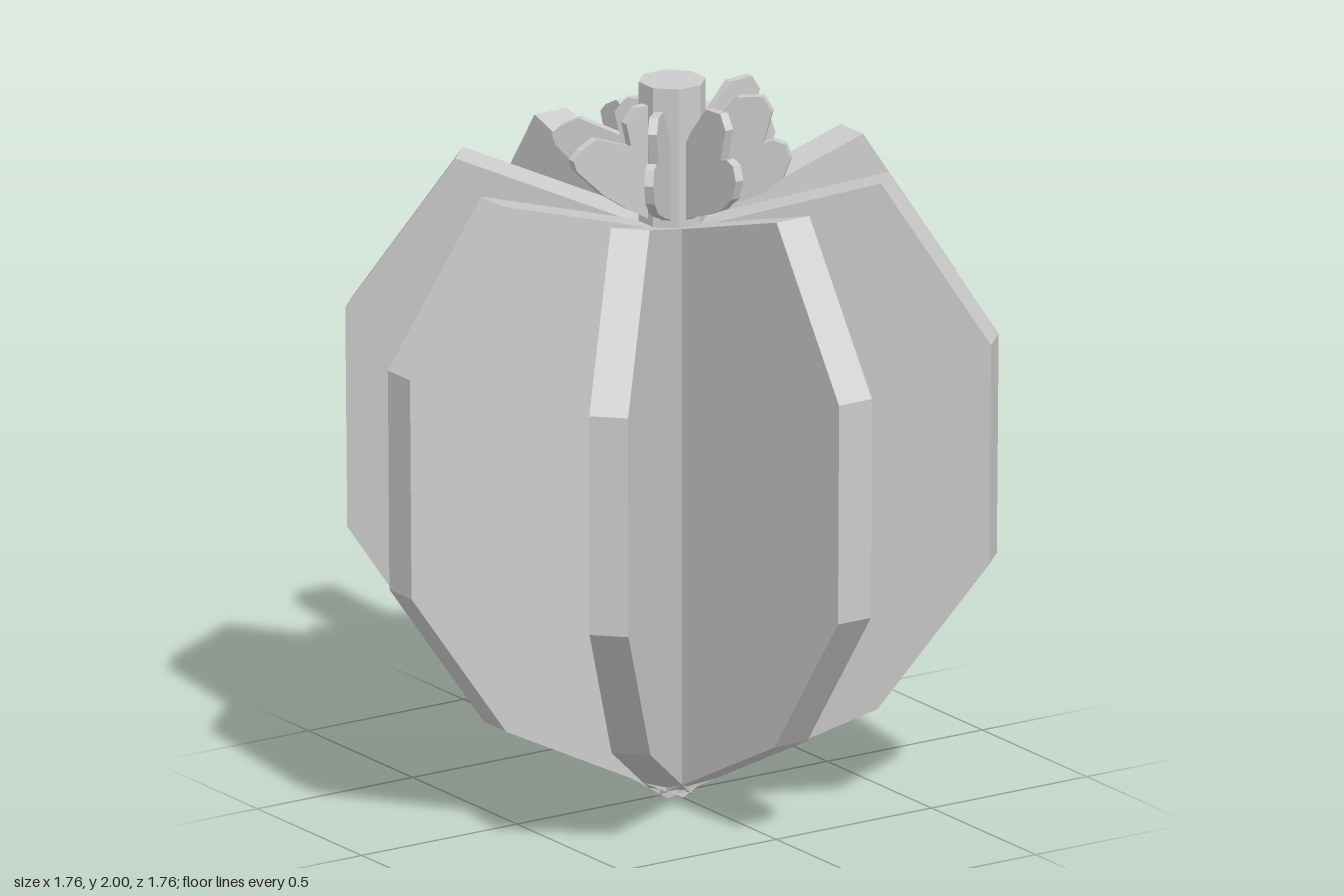
import * as THREE from 'three';

const material = new THREE.MeshStandardMaterial({ color: 0xcccccc, flatShading: true });

// Flat plate through the axis, centred on its own thickness
function plateGeometry(points, thickness) {
  const shape = new THREE.Shape(points.map(([x, y]) => new THREE.Vector2(x, y)));
  const geometry = new THREE.ExtrudeGeometry(shape, { depth: thickness, bevelEnabled: false });
  return geometry.translate(0, 0, -thickness / 2);
}

// Four crossing plates make eight radial blades
function addCrossedPlates(parent, name, geometry) {
  for (let i = 0; i < 4; i++) {
    const mesh = new THREE.Mesh(geometry, material);
    mesh.name = name + (i + 1);
    mesh.rotation.y = -i * Math.PI / 4;
    parent.add(mesh);
  }
}

export function createModel() {
  const model = new THREE.Group();
  model.name = 'ribbedPlant';

  // Body ribs: half outline mirrored across the axis
  const half = [[0.57, 0.285], [0.875, 0.71], [0.88, 1.325], [0.58, 1.76]];
  const ribOutline = [
    [0, 0], ...half, [0, 1.585],
    ...half.map(([x, y]) => [-x, y]).reverse(),
  ];
  const ribs = new THREE.Group();
  ribs.name = 'ribs';
  addCrossedPlates(ribs, 'rib', plateGeometry(ribOutline, 0.106));
  model.add(ribs);

  // Octagonal stem with a flat side to the front
  const stem = new THREE.Mesh(new THREE.CylinderGeometry(0.092, 0.092, 0.5, 8), material);
  stem.name = 'stem';
  stem.geometry.rotateY(Math.PI / 8);
  stem.position.y = 1.75;
  model.add(stem);

  // Lobed leaves: tall upper lobe on one side, broad lower lobe on the other
  const leafOutline = [
    [0, 1.58], [0.1, 1.64], [0.17, 1.665], [0.25, 1.70], [0.305, 1.745], [0.325, 1.8],
    [0.31, 1.84], [0.28, 1.85], [0.25, 1.84], [0.275, 1.93], [0.25, 1.97], [0.18, 1.965],
    [0.106, 1.88], [0.05, 1.79],
    [-0.05, 1.9], [-0.07, 1.945], [-0.12, 1.945], [-0.155, 1.905], [-0.14, 1.84],
    [-0.25, 1.88], [-0.3, 1.855], [-0.325, 1.83], [-0.315, 1.8], [-0.23, 1.72], [-0.15, 1.665],
  ];
  const leaves = new THREE.Group();
  leaves.name = 'leaves';
  addCrossedPlates(leaves, 'leafPair', plateGeometry(leafOutline, 0.025));
  model.add(leaves);

  return model;
}
